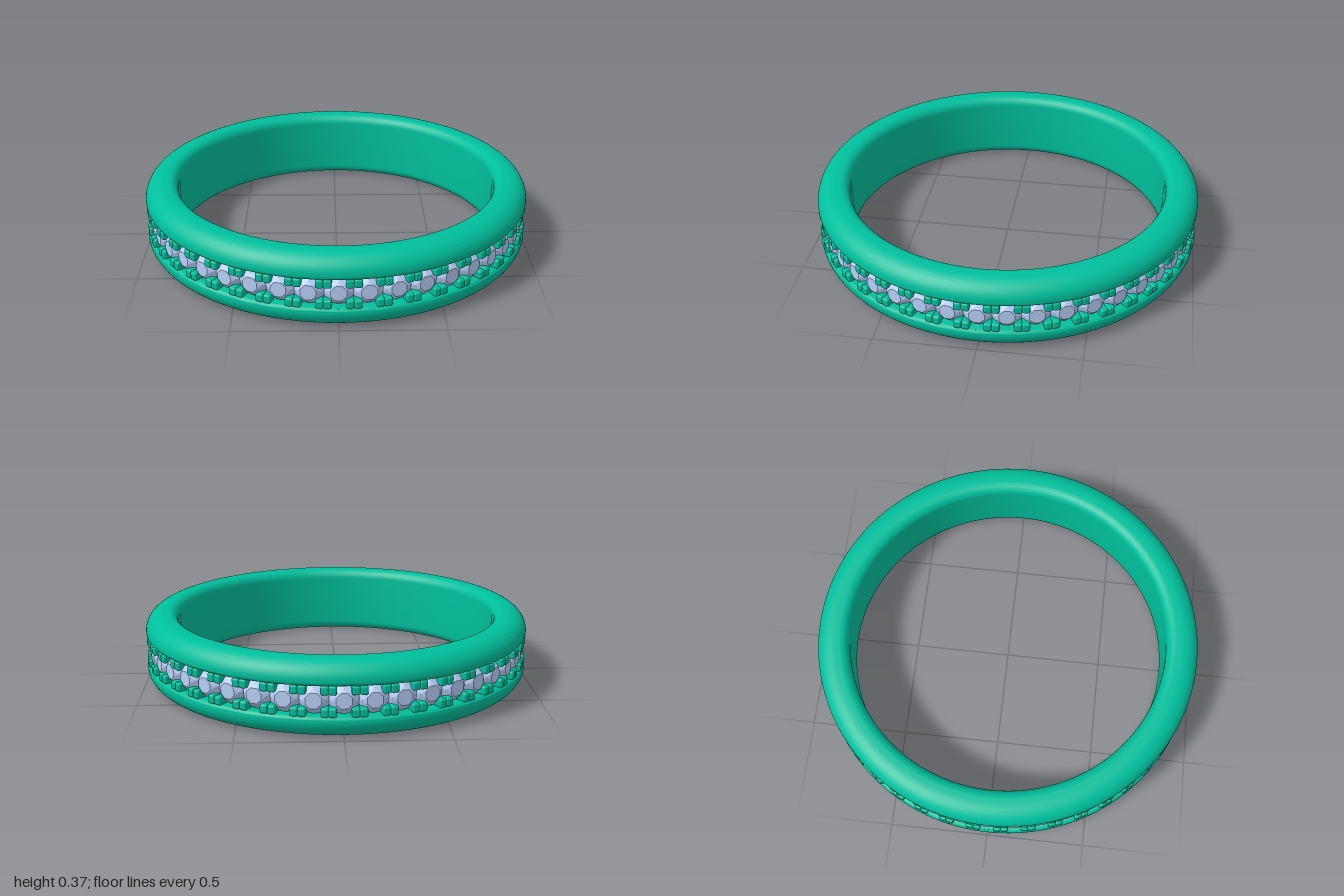
import * as THREE from 'three';
import { toCreasedNormals } from 'three/addons/utils/BufferGeometryUtils.js';
import { RoundedBoxGeometry } from 'three/addons/geometries/RoundedBoxGeometry.js';
import { ConvexGeometry } from 'three/addons/geometries/ConvexGeometry.js';

const STONES = 44;
const HEIGHT = 0.37;
const MID = HEIGHT / 2;

// Points on a circle of radius r, at depth z along the stone's axis
function ringPoints(count, r, z, turn = 0) {
  return Array.from({ length: count }, (_, i) => {
    const a = ((i + turn) / count) * Math.PI * 2;
    return new THREE.Vector3(r * Math.cos(a), r * Math.sin(a), z);
  });
}

// Band cross-section: rounded rims either side of a sunken channel
function bandGeometry() {
  const s = new THREE.Shape();
  const PI = Math.PI;
  s.moveTo(0.83, MID);
  s.lineTo(0.83, 0.05);
  s.absarc(0.88, 0.05, 0.05, PI, 1.5 * PI, false);
  s.absellipse(0.9, 0.09, 0.1, 0.09, 1.5 * PI, 2 * PI, false);
  s.absarc(0.98, 0.093, 0.02, 0, 0.5 * PI, false);
  s.lineTo(0.9, 0.113);
  s.lineTo(0.9, HEIGHT - 0.113);
  s.absarc(0.98, HEIGHT - 0.093, 0.02, 1.5 * PI, 2 * PI, false);
  s.absellipse(0.9, HEIGHT - 0.09, 0.1, 0.09, 0, 0.5 * PI, false);
  s.absarc(0.88, HEIGHT - 0.05, 0.05, 0.5 * PI, PI, false);
  s.lineTo(0.83, MID);
  return toCreasedNormals(new THREE.LatheGeometry(s.getPoints(8), 160), 0.7);
}

export function createModel() {
  const model = new THREE.Group();
  const metal = new THREE.MeshStandardMaterial({ color: 0x00bf9c });
  const gem = new THREE.MeshStandardMaterial({ color: 0xb8d0f8, flatShading: true });

  const band = new THREE.Mesh(bandGeometry(), metal);
  band.name = 'band';
  model.add(band);

  // Faceted round stone: table, crown, girdle and pointed pavilion
  const stoneGeo = new ConvexGeometry([
    ...ringPoints(8, 0.04, 0.983, 0.5),
    ...ringPoints(8, 0.058, 0.968),
    ...ringPoints(16, 0.072, 0.948),
    ...ringPoints(16, 0.072, 0.942),
    new THREE.Vector3(0, 0, 0.88),
  ]);
  const prongGeo = new RoundedBoxGeometry(0.038, 0.044, 0.1, 3, 0.01);

  // Each setting holds one stone with a prong at each of its four corners
  for (let i = 0; i < STONES; i++) {
    const setting = new THREE.Group();
    setting.name = 'setting';
    setting.position.y = MID;
    setting.rotation.y = (i / STONES) * Math.PI * 2;

    const stone = new THREE.Mesh(stoneGeo, gem);
    stone.name = 'stone';
    setting.add(stone);

    for (const sx of [-1, 1]) {
      for (const sy of [-1, 1]) {
        const prong = new THREE.Mesh(prongGeo, metal);
        prong.name = 'prong';
        prong.position.set(sx * 0.05, sy * 0.053, 0.947);
        prong.rotation.y = sx * 0.05;
        setting.add(prong);
      }
    }
    model.add(setting);
  }
  return model;
}
